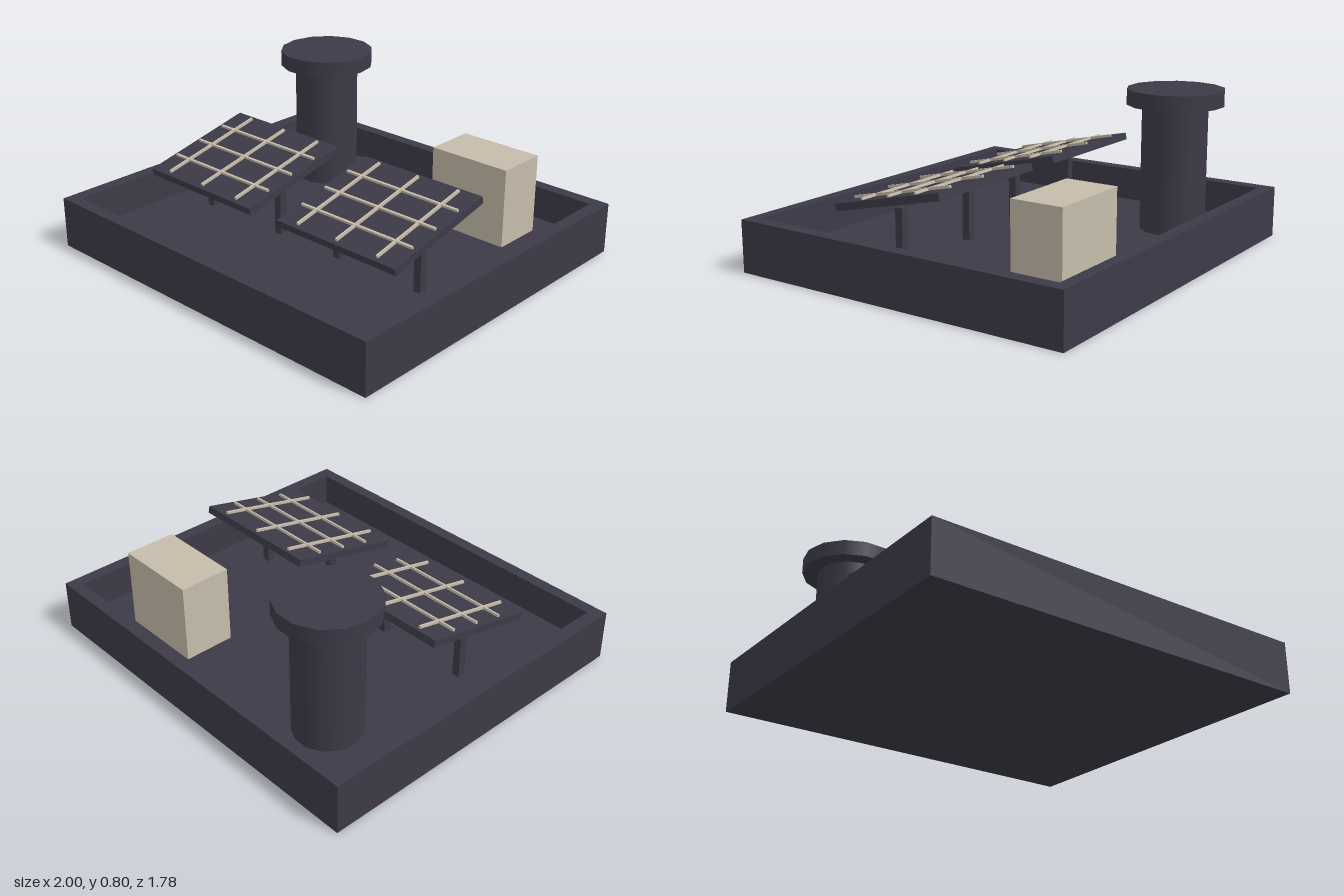
import * as THREE from 'three';

const dark = new THREE.MeshStandardMaterial({ name: 'dark slate', color: 0x3d3a48 });
const beige = new THREE.MeshStandardMaterial({ name: 'beige', color: 0xc6bcaa });

function add(parent, name, geometry, material, x, y, z) {
  const mesh = new THREE.Mesh(geometry, material);
  mesh.name = name;
  mesh.position.set(x, y, z);
  parent.add(mesh);
  return mesh;
}

const box = (w, h, d) => new THREE.BoxGeometry(w, h, d);

// Rectangle outline centred on the origin
function rectangle(PathType, w, d) {
  const path = new PathType();
  path.moveTo(-w / 2, -d / 2);
  path.lineTo(w / 2, -d / 2);
  path.lineTo(w / 2, d / 2);
  path.lineTo(-w / 2, d / 2);
  path.closePath();
  return path;
}

export function createModel() {
  const model = new THREE.Group();
  model.name = 'rooftop';
  const floorY = 0.088, wallY = 0.258;

  // Roof: parapet ring around a lower deck
  const ring = rectangle(THREE.Shape, 2, 1.78);
  ring.holes.push(rectangle(THREE.Path, 1.866, 1.654));
  const parapet = new THREE.ExtrudeGeometry(ring, { depth: wallY, bevelEnabled: false });
  parapet.rotateX(-Math.PI / 2);
  add(model, 'parapet', parapet, dark, 0, 0, 0);
  add(model, 'deck', box(1.866, floorY, 1.654), dark, 0, floorY / 2, 0);

  // Vent: column with a wide cap
  const vent = new THREE.Group();
  vent.name = 'vent';
  vent.position.set(-0.558, 0, -0.535);
  model.add(vent);
  const cylinder = (r, h) => new THREE.CylinderGeometry(r, r, h, 14).rotateY(Math.PI / 2);
  add(vent, 'ventColumn', cylinder(0.166, 0.72 - floorY), dark, 0, (0.72 + floorY) / 2, 0);
  add(vent, 'ventCap', cylinder(0.243, 0.078), dark, 0, 0.758, 0);

  // Equipment box
  add(model, 'equipmentBox', box(0.438, 0.49 - floorY, 0.262), beige, 0.485, (0.49 + floorY) / 2, -0.56);

  // Two tilted solar panels on posts
  for (const side of [-1, 1]) {
    const panel = new THREE.Group();
    panel.name = side < 0 ? 'rightSolarPanel' : 'leftSolarPanel';
    panel.position.set(side * 0.444, 0, 0.18);
    model.add(panel);

    const tilted = new THREE.Group();
    tilted.name = 'tiltedPanel';
    tilted.position.y = 0.402;
    tilted.rotation.x = 0.223;
    panel.add(tilted);
    add(tilted, 'panelSlab', box(0.71, 0.036, 0.62), dark, 0, 0, 0);

    // Grid rails lying on the slab
    for (const i of [-1, 0, 1]) {
      add(tilted, 'longRail', box(0.012, 0.013, 0.576), beige, i * 0.238, 0.0245, 0);
      add(tilted, 'crossRail', box(0.664, 0.012, 0.012), beige, 0, 0.024, i * 0.159);
    }

    for (const end of [-1, 1]) {
      add(panel, 'panelPost', box(0.04, 0.357 - floorY, 0.04), dark, end * 0.248, (0.357 + floorY) / 2, 0);
    }
  }
  return model;
}
